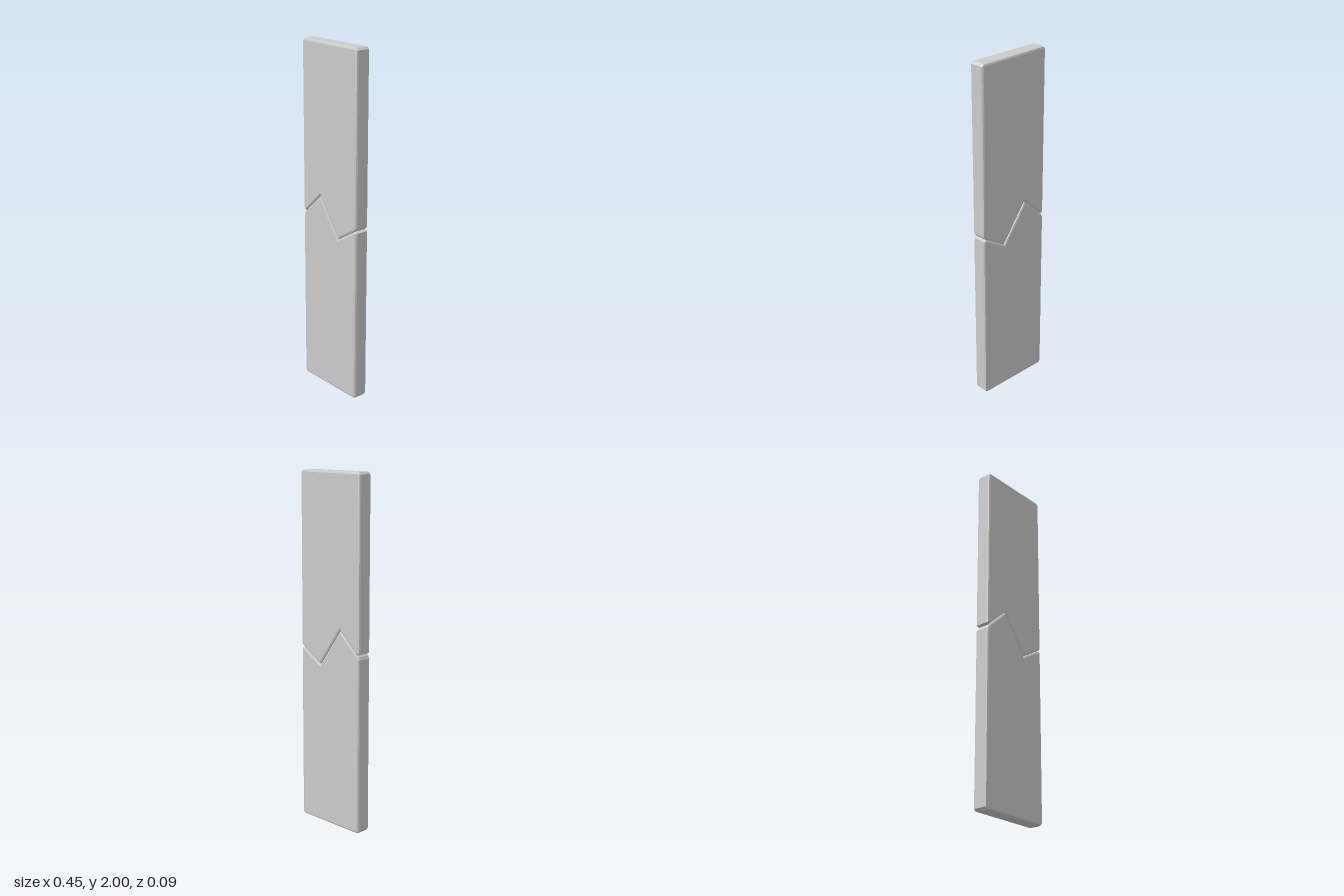
import * as THREE from 'three';
import { toCreasedNormals } from 'three/addons/utils/BufferGeometryUtils.js';

const HALF_WIDTH = 0.225;
const DEPTH = 0.088;
const BEVEL = 0.012;
const CORNER = 0.009; // half the length of each clipped corner

// Zigzag break line, from the right side to the left side
const crack = [[-HALF_WIDTH, 1.01], [-0.08, 1.145], [0.075, 0.93], [HALF_WIDTH, 1.02]]
  .map(([x, y]) => new THREE.Vector2(x, y));

// Outline with its outer corners clipped; the inner zigzag corners stay sharp
function clippedOutline(points) {
  const out = [];
  points.forEach((p, i) => {
    if (Math.abs(p.x) < HALF_WIDTH) return out.push(p);
    const toPrev = points.at(i - 1).clone().sub(p).normalize();
    const toNext = points[(i + 1) % points.length].clone().sub(p).normalize();
    const cut = CORNER / Math.sin(Math.acos(toPrev.dot(toNext)) / 2);
    out.push(p.clone().addScaledVector(toPrev, cut), p.clone().addScaledVector(toNext, cut));
  });
  return new THREE.Shape(out);
}

// Bevelled slab piece, centred in depth
function slabPiece(name, points, material) {
  const geometry = new THREE.ExtrudeGeometry(clippedOutline(points), {
    depth: DEPTH - 2 * BEVEL,
    bevelThickness: BEVEL,
    bevelSize: BEVEL,
    bevelOffset: -BEVEL,
    bevelSegments: 2,
  });
  geometry.translate(0, 0, BEVEL - DEPTH / 2);
  const mesh = new THREE.Mesh(toCreasedNormals(geometry, 0.35), material);
  mesh.name = name;
  return mesh;
}

export function createModel() {
  const group = new THREE.Group();
  group.name = 'crackedSlab';
  const material = new THREE.MeshStandardMaterial({ color: 0xcccccc });
  const corner = (x, y) => new THREE.Vector2(x, y);

  // Two halves meeting along the crack
  group.add(
    slabPiece('lowerHalf', [corner(-HALF_WIDTH, 0), corner(HALF_WIDTH, 0), ...[...crack].reverse()], material),
    slabPiece('upperHalf', [...crack, corner(HALF_WIDTH, 2), corner(-HALF_WIDTH, 2)], material),
  );
  return group;
}
